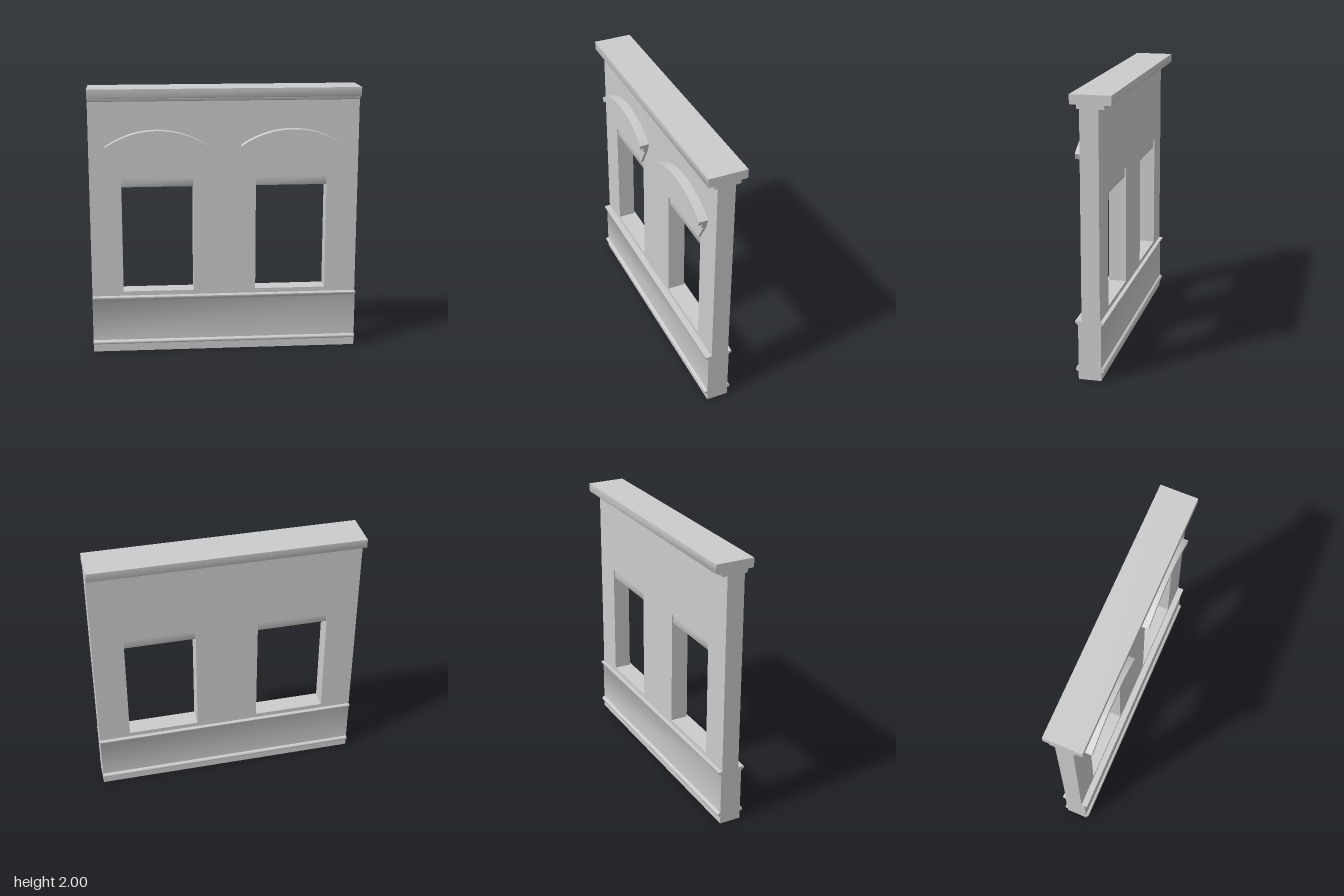
import * as THREE from 'three';
import { toCreasedNormals } from 'three/addons/utils/BufferGeometryUtils.js';

const material = new THREE.MeshStandardMaterial({ color: 0xcccccc });

function addMesh(group, geometry, name) {
  const mesh = new THREE.Mesh(toCreasedNormals(geometry, 1.0), material);
  mesh.name = name;
  group.add(mesh);
  return mesh;
}

// Extrudes a front/back symmetric profile along x; points are [half depth, y], top to bottom.
function molding(points, length, centerZ) {
  const front = points.map(([d, y]) => new THREE.Vector2(d, y));
  const back = points.map(([d, y]) => new THREE.Vector2(-d, y)).reverse();
  const geometry = new THREE.ExtrudeGeometry(new THREE.Shape([...front, ...back]), {
    depth: length, bevelEnabled: false,
  });
  return geometry.translate(0, 0, -length / 2).rotateY(Math.PI / 2).translate(0, 0, centerZ);
}

// Samples a circular arc from its half width, end height and crown height.
function arcPoints([half, endY, crownY], steps = 24) {
  const rise = crownY - endY;
  const radius = (half * half + rise * rise) / (2 * rise);
  const angle = Math.asin(half / radius);
  return Array.from({ length: steps + 1 }, (_, i) => {
    const a = angle * (2 * i / steps - 1);
    return new THREE.Vector2(radius * Math.sin(a), crownY - radius + radius * Math.cos(a));
  });
}

function archBand(upper, lower, frontZ) {
  const shape = new THREE.Shape([...arcPoints(upper), ...arcPoints(lower).reverse()]);
  const backZ = 0.06;
  return new THREE.ExtrudeGeometry(shape, { depth: frontZ - backZ, bevelEnabled: false })
    .translate(0, 0, backZ);
}

function rectangle(Type, x0, y0, x1, y1) {
  return new Type([[x0, y0], [x1, y0], [x1, y1], [x0, y1]].map(p => new THREE.Vector2(...p)));
}

export function createModel() {
  const model = new THREE.Group();
  model.name = 'facadeWall';
  const wallZ = 0.009, wallDepth = 0.13;
  const windowCenters = [-0.5, 0.5];
  const windowHalf = 0.266, sillY = 0.465, headY = 1.335;

  // Wall slab with two window openings
  const wall = rectangle(THREE.Shape, -1, 0.2, 1, 1.96);
  for (const x of windowCenters) {
    wall.holes.push(rectangle(THREE.Path, x - windowHalf, sillY, x + windowHalf, headY));
  }
  addMesh(model, new THREE.ExtrudeGeometry(wall, { depth: wallDepth, bevelEnabled: false })
    .translate(0, 0, wallZ - wallDepth / 2), 'wall');

  // Plinth with a sloped cap and a rounded bead near the foot
  const bead = Array.from({ length: 7 }, (_, i) => {
    const a = Math.PI * (0.5 - i / 6);
    return [0.081 + 0.021 * Math.cos(a), 0.075 + 0.016 * Math.sin(a)];
  });
  addMesh(model, molding([
    [0.102, 0.432], [0.102, 0.42], [0.092, 0.412], [0.081, 0.4],
    ...bead, [0.081, 0],
  ], 2, 0.018), 'plinth');

  // Cornice with a stepped underside
  addMesh(model, molding([
    [0.142, 2], [0.142, 1.937], [0.137, 1.932],
    [0.095, 1.932], [0.095, 1.91], [0.09, 1.905], [0.05, 1.905],
  ], 2, 0), 'cornice');

  // Hood arch bands: [half width, end height, crown height]
  const arcs = [
    [0.38, 1.575, 1.695], [0.365, 1.537, 1.652],
    [0.352, 1.5, 1.623], [0.267, 1.355, 1.438],
  ];
  const bands = [['archHood', 0.142], ['archStep', 0.112], ['archPanel', 0.094]];

  for (const x of windowCenters) {
    const side = x > 0 ? 'left' : 'right';
    const arch = new THREE.Group();
    arch.name = side + 'WindowArch';
    arch.position.x = x;
    bands.forEach(([name, z], i) => addMesh(arch, archBand(arcs[i], arcs[i + 1], z), name));
    model.add(arch);

    // Lintel with eased lower edges, set inside the top of the opening
    const lintel = addMesh(model, molding([
      [0.055, headY], [0.055, 1.271], [0.049, 1.265],
    ], windowHalf * 2, wallZ), side + 'Lintel');
    lintel.position.x = x;
  }
  return model;
}
